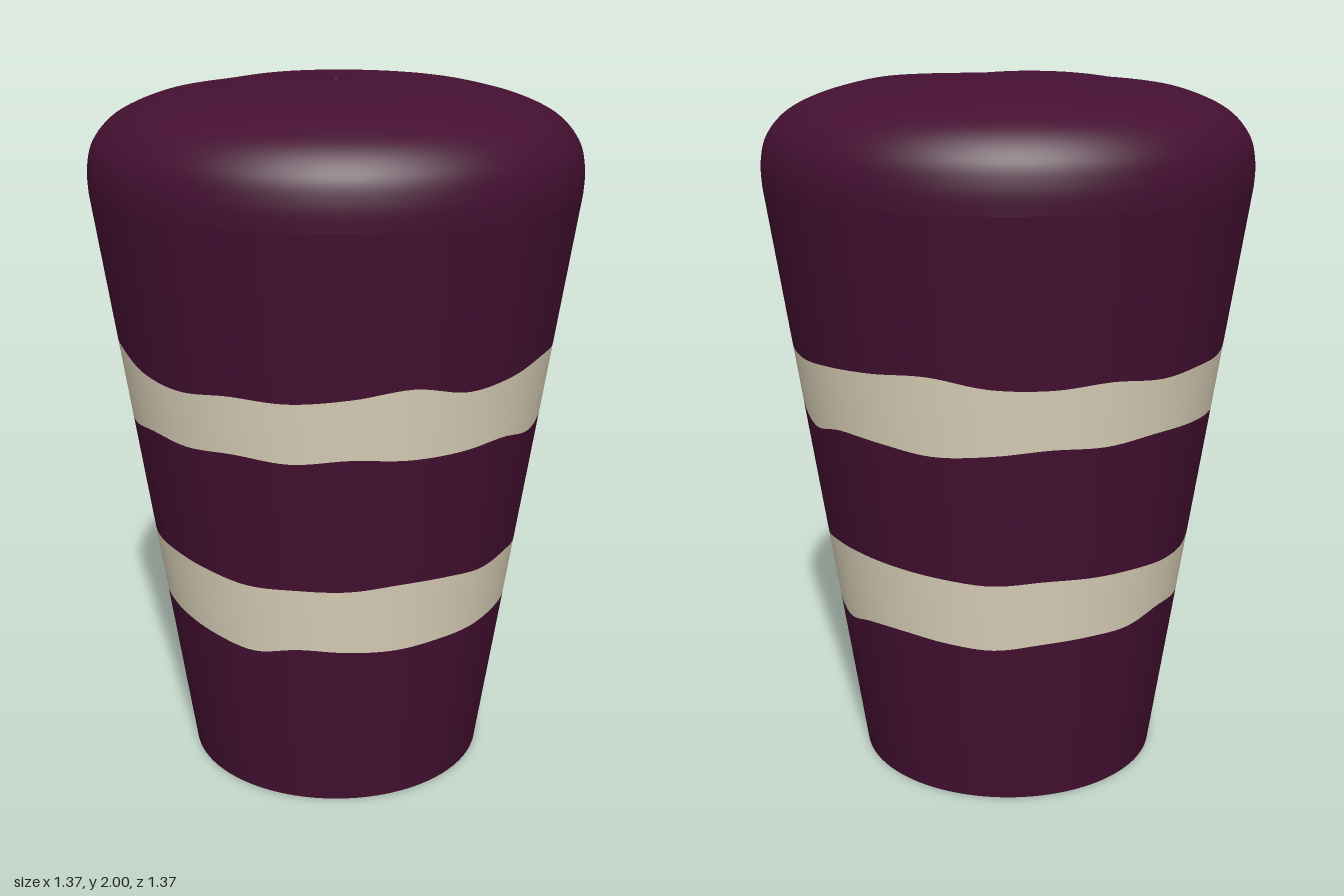
import * as THREE from 'three';

const SEG = 144;
const plum = new THREE.MeshStandardMaterial({ color: 0x451032 });
plum.name = 'plum';
const cream = new THREE.MeshStandardMaterial({ color: 0xe0d6bd });
cream.name = 'cream';

// Straight taper of the side wall
const wallRadius = (y) => 0.435 + 0.147 * y;

// Wavy stripe edges: heights every 15 degrees, starting at the -x side and passing the front
const edges = {
  lowBottom: [.51, .53, .515, .50, .52, .515, .50, .485, .51, .505, .50, .505,
    .505, .51, .50, .49, .485, .47, .50, .51, .50, .49, .505, .51],
  lowTop: [.69, .68, .68, .705, .715, .72, .71, .695, .70, .70, .71, .705,
    .69, .695, .68, .70, .69, .71, .715, .71, .70, .69, .70, .695],
  highBottom: [1.09, 1.085, 1.075, 1.06, 1.065, 1.085, 1.08, 1.09, 1.08, 1.095, 1.085, 1.085,
    1.09, 1.065, 1.075, 1.085, 1.09, 1.055, 1.08, 1.075, 1.06, 1.07, 1.085, 1.08],
  highTop: [1.245, 1.25, 1.25, 1.275, 1.29, 1.255, 1.24, 1.255, 1.25, 1.265, 1.285, 1.255,
    1.265, 1.285, 1.275, 1.255, 1.255, 1.25, 1.26, 1.27, 1.28, 1.255, 1.25, 1.26],
};

// Smooth periodic curve through the heights, as a wall row
function wavyRow(heights) {
  const n = heights.length;
  const curve = new THREE.SplineCurve(
    Array.from({ length: n + 7 }, (_, i) => new THREE.Vector2(i - 3, heights[(i - 3 + n) % n])));
  return (angle) => {
    const t = ((angle + Math.PI / 2) / (2 * Math.PI)) * n;
    const y = curve.getPoint((t + 3) / (n + 6)).y;
    return [wallRadius(y), y];
  };
}

// Rows are functions angle -> [radius, y], listed from bottom to top
function loft(rows) {
  const pos = [], index = [];
  rows.forEach((row, i) => {
    for (let j = 0; j < SEG; j++) {
      const angle = -Math.PI / 2 + (j / SEG) * Math.PI * 2;
      const [r, y] = row(angle);
      pos.push(r * Math.sin(angle), y, r * Math.cos(angle));
      if (i === rows.length - 1) continue;
      const a = i * SEG + j, b = i * SEG + (j + 1) % SEG;
      index.push(a, b, a + SEG, b, b + SEG, a + SEG);
    }
  });
  const geo = new THREE.BufferGeometry();
  geo.setAttribute('position', new THREE.Float32BufferAttribute(pos, 3));
  geo.setIndex(index);
  geo.computeVertexNormals();
  return geo;
}

export function createModel() {
  const group = new THREE.Group();
  const add = (name, geo, mat) => {
    const mesh = new THREE.Mesh(geo, mat);
    mesh.name = name;
    group.add(mesh);
    return mesh;
  };

  const lowBottom = wavyRow(edges.lowBottom), lowTop = wavyRow(edges.lowTop);
  const highBottom = wavyRow(edges.highBottom), highTop = wavyRow(edges.highTop);
  const level = (y) => () => [wallRadius(y), y];

  // Tapered wall and its two stripes
  add('lowerWall', loft([level(0), level(0.2), lowBottom]), plum);
  add('lowerStripe', loft([lowBottom, lowTop]), cream);
  add('middleWall', loft([lowTop, level(0.9), highBottom]), plum);
  add('upperStripe', loft([highBottom, highTop]), cream);
  add('upperWall', loft([highTop, level(1.4), level(1.6), level(1.7)]), plum);

  // Rounded shoulder running into a domed lid with a faint spiral fold
  const profile = new THREE.SplineCurve([
    [0.685, 1.7], [0.686, 1.765], [0.668, 1.835], [0.61, 1.9], [0.51, 1.947],
    [0.4, 1.973], [0.27, 1.987], [0.13, 1.992], [0.001, 1.993],
  ].map(([x, y]) => new THREE.Vector2(x, y)));
  const lidRows = [];
  for (let i = 0; i <= 48; i++) {
    const p = profile.getPoint(i / 48);
    lidRows.push((angle) => {
      const fade = THREE.MathUtils.smoothstep(p.x, 0.02, 0.15)
        * (1 - THREE.MathUtils.smoothstep(p.x, 0.3, 0.5));
      return [p.x, p.y + 0.006 * fade * Math.sin(angle + 14 * p.x)];
    });
  }
  add('lid', loft(lidRows), plum);

  // Flat underside
  const base = add('base', new THREE.CircleGeometry(wallRadius(0), SEG), plum);
  base.rotation.x = Math.PI / 2;

  return group;
}
